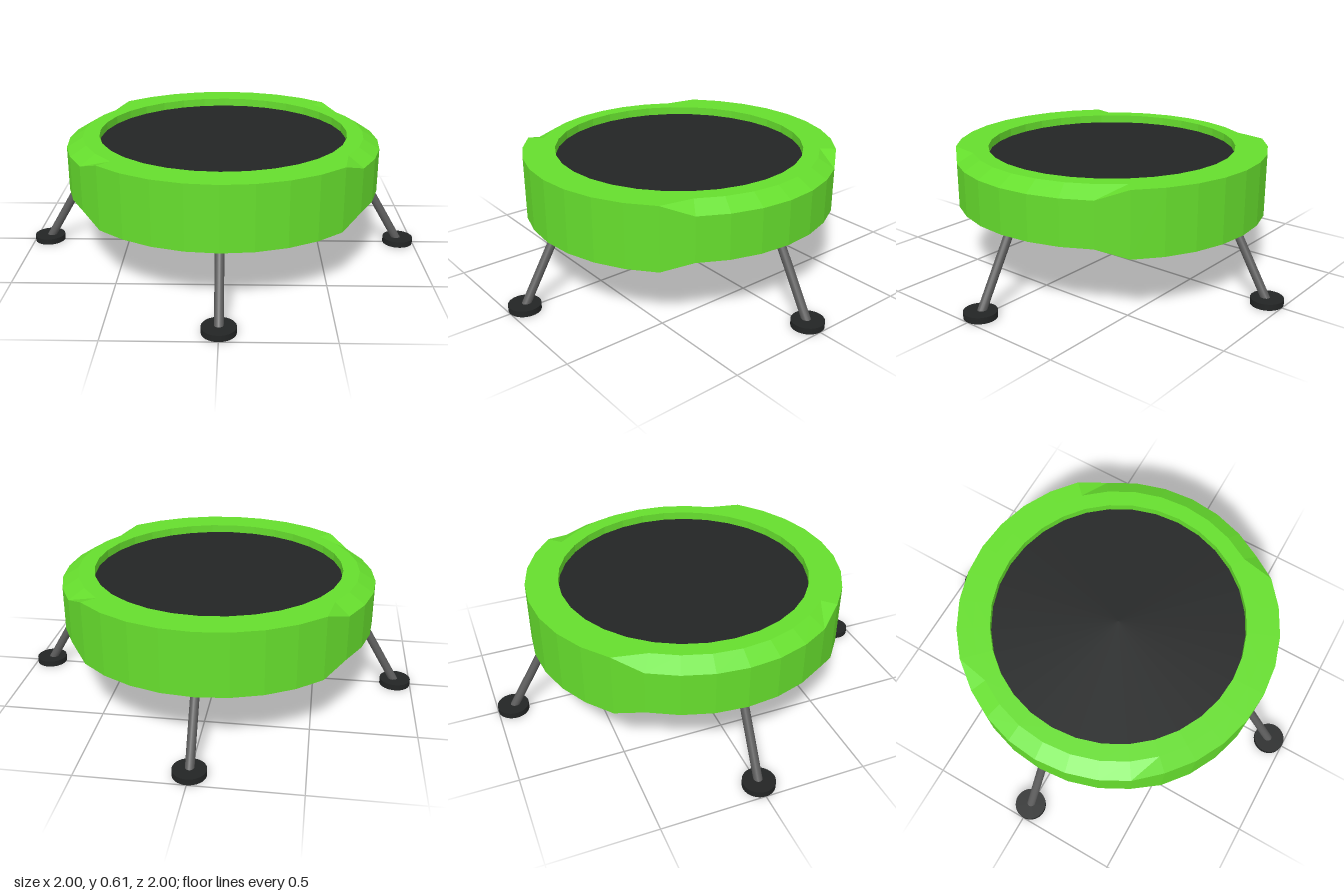
import * as THREE from 'three';

const SEGMENTS = 32;
const green = new THREE.MeshStandardMaterial({ color: 0x66de2d, flatShading: true });
const black = new THREE.MeshStandardMaterial({ color: 0x232525 });
const grey = new THREE.MeshStandardMaterial({ color: 0x5c5c5c });

// Padded ring: one profile swept round, its outer edge pinched on the left and right
function paddedRing() {
  const positions = [], index = [];
  const rows = 6;
  for (let i = 0; i < SEGMENTS; i++) {
    const a = (i / SEGMENTS) * Math.PI * 2;
    const pinch = Math.abs(Math.cos(a)) > 0.8 ? 0.047 : 0;
    const profile = [
      [0, 0.3], [0.78, 0.3 + pinch], [0.78, 0.613 - pinch],
      [0.7, 0.613], [0.62, 0.613], [0.62, 0.565],
    ];
    for (const [r, y] of profile) positions.push(r * Math.cos(a), y, r * Math.sin(a));
    const next = ((i + 1) % SEGMENTS) * rows;
    for (let j = 0; j < rows - 1; j++) {
      const p = i * rows + j, q = next + j;
      if (j > 0) index.push(p, p + 1, q);
      index.push(p + 1, q + 1, q);
    }
  }
  const indexed = new THREE.BufferGeometry();
  indexed.setAttribute('position', new THREE.Float32BufferAttribute(positions, 3));
  indexed.setIndex(index);
  const geometry = indexed.toNonIndexed();
  geometry.computeVertexNormals();
  return geometry;
}

function addMesh(parent, name, geometry, material) {
  const mesh = new THREE.Mesh(geometry, material);
  mesh.name = name;
  parent.add(mesh);
  return mesh;
}

// Splayed leg with a round foot, pointing along +x
function leg() {
  const group = new THREE.Group();
  group.name = 'leg';
  const bottom = new THREE.Vector3(0.92, 0.015, 0);
  const top = new THREE.Vector3(0.715, 0.365, 0);
  const axis = top.clone().sub(bottom);
  const tube = addMesh(group, 'legTube', new THREE.CylinderGeometry(0.021, 0.021, axis.length(), 16), grey);
  tube.position.copy(bottom).add(top).multiplyScalar(0.5);
  tube.quaternion.setFromUnitVectors(new THREE.Vector3(0, 1, 0), axis.normalize());
  const foot = addMesh(group, 'foot', new THREE.CylinderGeometry(0.077, 0.077, 0.03, 32), black);
  foot.position.set(0.923, 0.015, 0);
  return group;
}

export function createModel() {
  const model = new THREE.Group();
  model.name = 'trampoline';
  addMesh(model, 'paddedRing', paddedRing(), green);

  // Jumping mat, set slightly below the rim
  const mat = addMesh(model, 'jumpingMat', new THREE.CircleGeometry(0.62, SEGMENTS), black);
  mat.rotation.x = -Math.PI / 2;
  mat.position.y = 0.572;

  // Four legs
  for (let i = 0; i < 4; i++) {
    const l = leg();
    l.rotation.y = (i * Math.PI) / 2;
    model.add(l);
  }
  return model;
}
